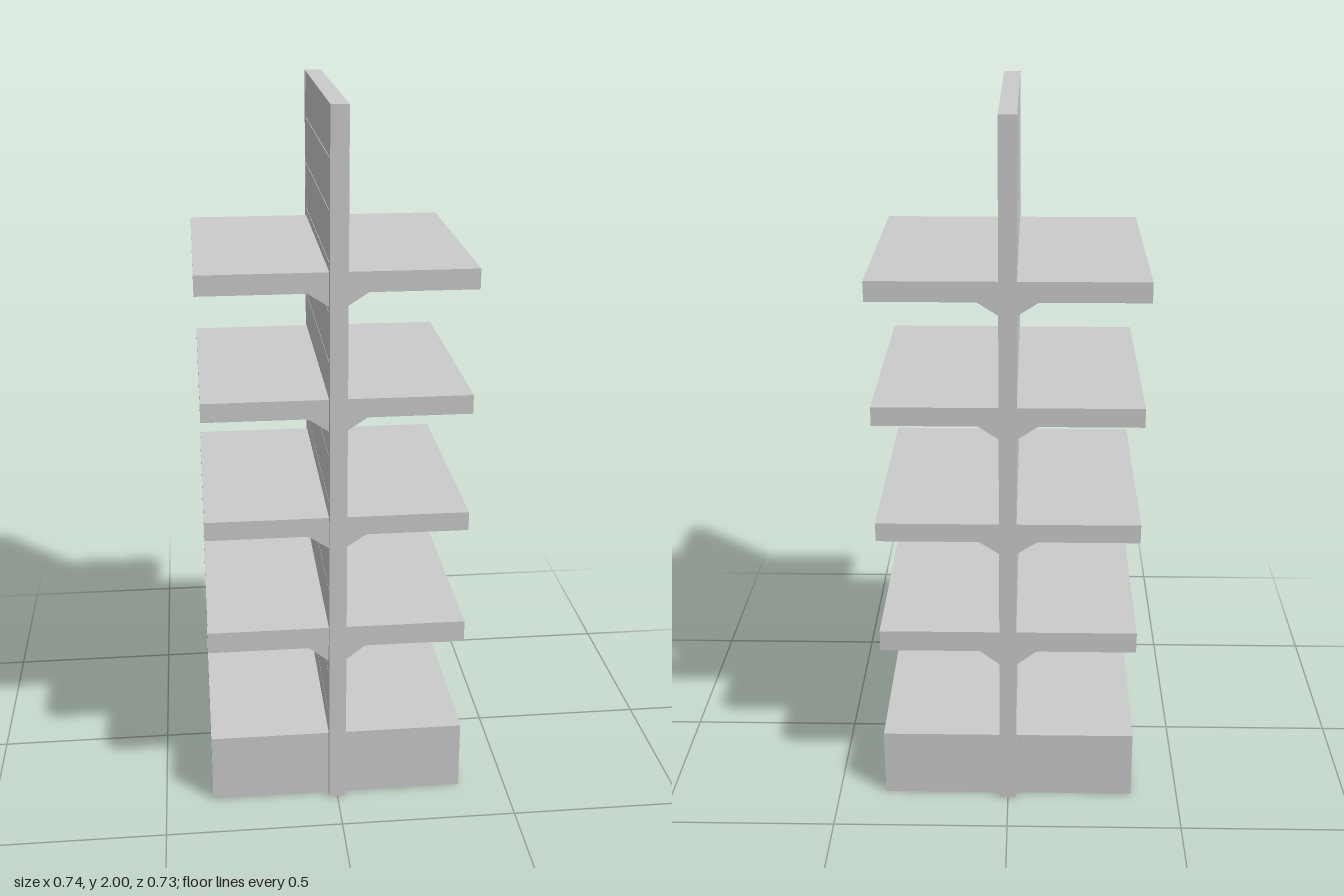
import * as THREE from 'three';

const POST_X = 0.024, DEPTH = 0.367, SHELF_Z = 0.344;

export function createModel() {
  const group = new THREE.Group();
  const material = new THREE.MeshStandardMaterial({ color: 0xcccccc, flatShading: true });

  function add(name, geometry, x = 0, y = 0, z = 0) {
    const mesh = new THREE.Mesh(geometry, material);
    mesh.name = name;
    mesh.position.set(x, y, z);
    group.add(mesh);
  }
  const box = (name, w, h, d, x, y, z) => add(name, new THREE.BoxGeometry(w, h, d), x, y, z);

  // Upright posts at both ends of the back panel
  const postDepth = DEPTH - SHELF_Z;
  for (const side of [1, -1]) {
    box('post', POST_X * 2, 2, postDepth, 0, 1, side * (DEPTH - postDepth / 2));
  }

  // Central panel: thin core with planks separated by fine grooves
  box('panelCore', 0.042, 1.99, SHELF_Z * 2, 0, 0.995, 0);
  const planks = 15, pitch = 2 / planks, groove = 0.003;
  for (let i = 0; i < planks; i++) {
    const bottom = i * pitch + (i ? groove : 0);
    const top = (i + 1) * pitch;
    box('panelPlank', 0.047, top - bottom, SHELF_Z * 2, 0, (top + bottom) / 2, 0);
  }

  // Solid plinths on each side
  const plinthEnd = 0.364;
  for (const side of [1, -1]) {
    box('basePlinth', plinthEnd - 0.02, 0.204, SHELF_Z * 2, side * (plinthEnd + 0.02) / 2, 0.102, 0);
  }

  // Shelves with a full-length sloped support underneath: [top, underside, support foot, reach]
  const shelves = [
    [0.55, 0.488, 0.444, 0.364],
    [0.89, 0.836, 0.799, 0.364],
    [1.232, 1.179, 1.142, 0.364],
    [1.577, 1.522, 1.486, 0.37],
  ];
  for (const [top, under, foot, reach] of shelves) {
    for (const side of [1, -1]) {
      const profile = new THREE.Shape([
        [0.02, top], [0.02, foot], [POST_X, foot], [0.08, under], [reach, under], [reach, top],
      ].map(([x, y]) => new THREE.Vector2(side * x, y)));
      const geometry = new THREE.ExtrudeGeometry(profile, { depth: SHELF_Z * 2, bevelEnabled: false });
      add('shelf', geometry, 0, 0, -SHELF_Z);
    }
  }

  return group;
}
